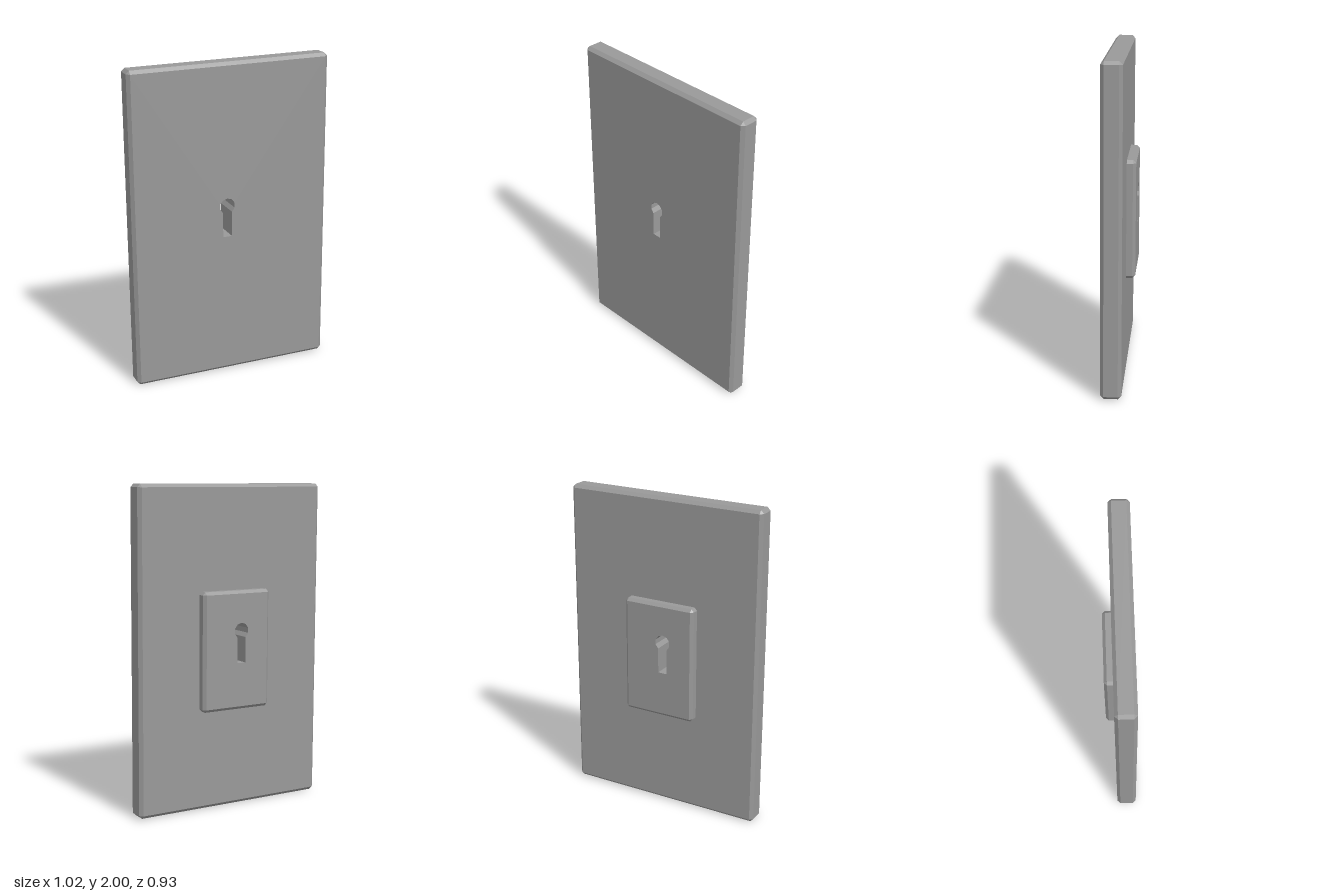
import * as THREE from 'three';

const HOLE_X = -0.03;

// Keyhole outline: faceted round head above a straight slot (y measured from the plate's centre)
function keyhole() {
  const path = new THREE.Path();
  path.moveTo(HOLE_X - 0.029, -0.09);
  path.lineTo(HOLE_X + 0.029, -0.09);
  for (let i = 0; i <= 8; i++) {
    const a = THREE.MathUtils.degToRad(-53 + (286 * i) / 8);
    path.lineTo(HOLE_X + 0.05 * Math.cos(a), 0.108 + 0.05 * Math.sin(a));
  }
  path.closePath();
  return path;
}

// Box from z0 to z1 with every edge chamfered by b, pierced by the keyhole
function chamferedPlate(w, h, cy, z0, z1, b) {
  const x = w / 2, y = h / 2;
  const shape = new THREE.Shape([
    [x - b, -y], [x, -y + b], [x, y - b], [x - b, y],
    [-x + b, y], [-x, y - b], [-x, -y + b], [-x + b, -y],
  ].map(([px, py]) => new THREE.Vector2(px, py + cy)));
  shape.holes.push(keyhole());
  const geo = new THREE.ExtrudeGeometry(shape, { depth: 3, steps: 3, bevelEnabled: false });
  const layers = [z0, z0 + b, z1 - b, z1];
  const pos = geo.attributes.position;
  for (let i = 0; i < pos.count; i++) {
    const k = Math.round(pos.getZ(i));
    pos.setZ(i, layers[k]);
    // pull the outline of the two end layers in to form the chamfer
    if (k === 0 || k === 3) {
      pos.setX(i, THREE.MathUtils.clamp(pos.getX(i), -x + b, x - b));
      pos.setY(i, THREE.MathUtils.clamp(pos.getY(i), cy - y + b, cy + y - b));
    }
  }
  geo.computeVertexNormals();
  return geo;
}

export function createModel() {
  const grey = new THREE.MeshStandardMaterial({ color: 0x999999, flatShading: true });
  grey.name = 'grey';

  const model = new THREE.Group();
  model.name = 'keyholePlate';

  const panel = new THREE.Mesh(chamferedPlate(1.28, 1.994, 0, -0.0625, 0.0625, 0.02), grey);
  panel.name = 'panel';

  // Raised lock plate on the rear, set slightly into the panel
  const lock = new THREE.Mesh(chamferedPlate(0.47, 0.735, -0.012, -0.118, -0.035, 0.018), grey);
  lock.name = 'lockPlate';

  // The whole plate stands turned, with a very slight lean
  const body = new THREE.Group();
  body.name = 'body';
  body.add(panel, lock);
  body.position.y = 1;
  body.rotation.set(0, THREE.MathUtils.degToRad(42.4), 0.0065, 'ZYX');
  model.add(body);
  return model;
}
